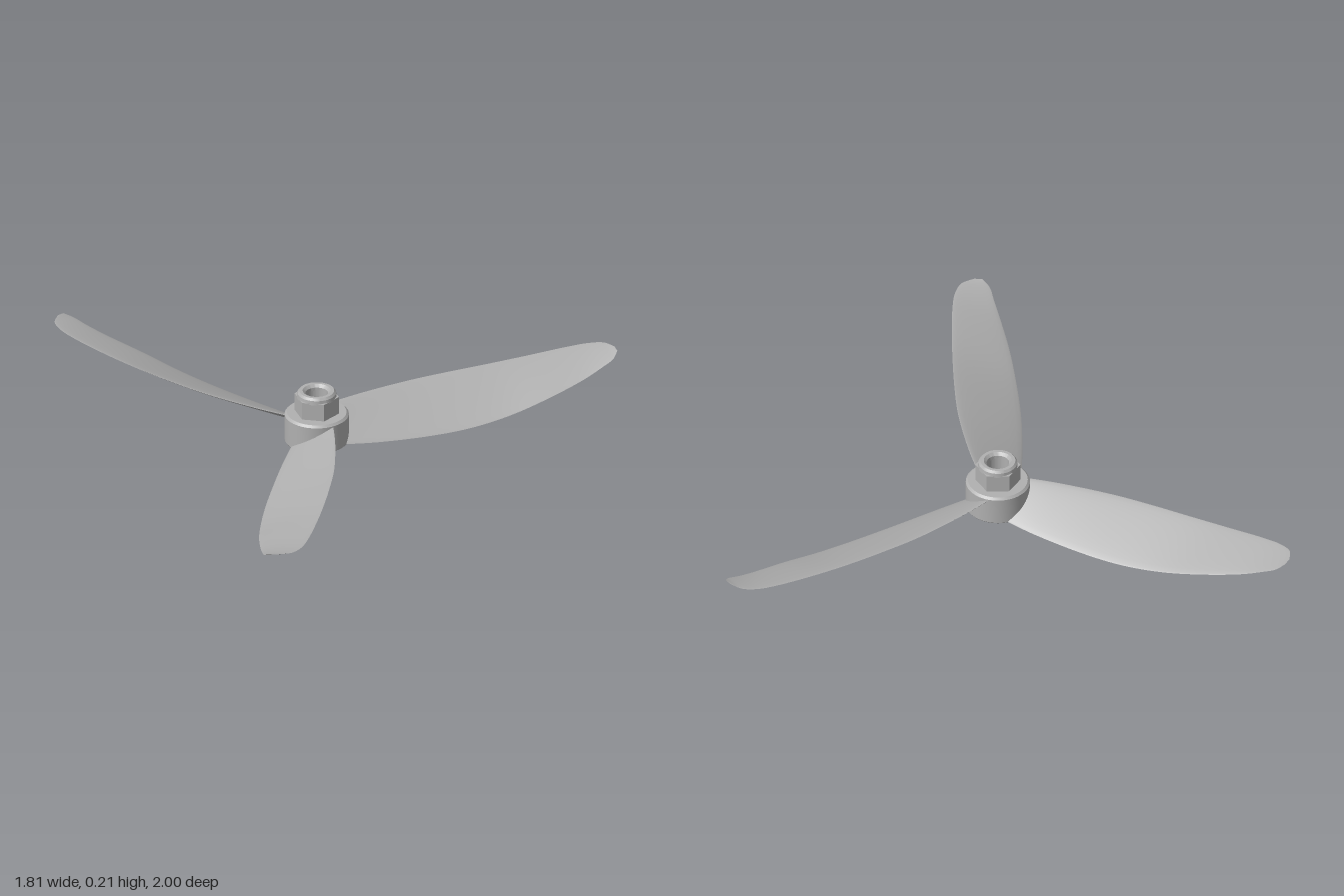
import * as THREE from 'three';
import { toCreasedNormals } from 'three/addons/utils/BufferGeometryUtils.js';

const metal = new THREE.MeshStandardMaterial({ color: 0xb0b0b0 });
metal.name = 'grey metal';

// Blade stations: radius, back edge z and y, front edge z and y, half thickness
const STATIONS = [
  [0.06, -0.070, 0.112, 0.075, 0.020, 0.009],
  [0.20, -0.105, 0.113, 0.085, 0.010, 0.008],
  [0.40, -0.140, 0.114, 0.088, 0.003, 0.007],
  [0.55, -0.152, 0.116, 0.083, 0.006, 0.006],
  [0.70, -0.158, 0.119, 0.068, 0.022, 0.005],
  [0.85, -0.160, 0.126, 0.045, 0.052, 0.005],
  [1.00, -0.157, 0.137, 0.010, 0.087, 0.004],
  [1.07, -0.148, 0.143, -0.010, 0.110, 0.003],
  [1.12, -0.125, 0.148, -0.025, 0.130, 0.002],
  [1.145, -0.080, 0.150, -0.050, 0.147, 0],
];

function bladeGeometry() {
  const curve = (f) => new THREE.CatmullRomCurve3(STATIONS.map(f));
  const back = curve((s) => new THREE.Vector3(s[0], s[2], s[1]));
  const front = curve((s) => new THREE.Vector3(s[0], s[4], s[3]));
  const thick = curve((s) => new THREE.Vector3(s[0], s[5], 0));
  const rows = 54, cols = 10;
  const positions = [], index = [];
  // Upper skin, then lower skin, meeting at sharp edges
  for (const side of [1, -1]) {
    const start = positions.length / 3;
    for (let i = 0; i <= rows; i++) {
      const b = back.getPoint(i / rows);
      const f = front.getPoint(i / rows);
      const t = thick.getPoint(i / rows).y;
      for (let j = 0; j <= cols; j++) {
        const a = (Math.PI * j) / cols;
        const p = b.clone().lerp(f, (1 - Math.cos(a)) / 2);
        positions.push(p.x, p.y + side * t * Math.sin(a), p.z);
      }
    }
    for (let i = 0; i < rows; i++) {
      for (let j = 0; j < cols; j++) {
        const a = start + i * (cols + 1) + j;
        const b = a + 1, c = a + cols + 1, d = c + 1;
        if (side > 0) index.push(a, b, c, b, d, c);
        else index.push(a, c, b, b, c, d);
      }
    }
  }
  const geometry = new THREE.BufferGeometry();
  geometry.setAttribute('position', new THREE.Float32BufferAttribute(positions, 3));
  geometry.setIndex(index);
  geometry.computeVertexNormals();
  return geometry;
}

// Closed ring turned from a profile, with crisp edges
function turned(profile) {
  const points = [...profile, profile[0]].map(([r, y]) => new THREE.Vector2(r, y));
  return toCreasedNormals(new THREE.LatheGeometry(points, 48), 0.5);
}

function hexNut(radius, hole, y, height) {
  const shape = new THREE.Shape();
  for (let i = 0; i < 6; i++) {
    const a = Math.PI / 2 + (i * Math.PI) / 3;
    const x = radius * Math.cos(a), z = radius * Math.sin(a);
    if (i === 0) shape.moveTo(x, z);
    else shape.lineTo(x, z);
  }
  shape.closePath();
  shape.holes.push(new THREE.Path().absarc(0, 0, hole, 0, Math.PI * 2, true));
  const geometry = new THREE.ExtrudeGeometry(shape, { depth: height, bevelEnabled: false, curveSegments: 24 });
  return geometry.rotateX(-Math.PI / 2).translate(0, y, 0);
}

export function createModel() {
  const model = new THREE.Group();
  model.name = 'propeller';
  const add = (name, geometry) => {
    const mesh = new THREE.Mesh(geometry, metal);
    mesh.name = name;
    model.add(mesh);
    return mesh;
  };

  // Hub with its bore
  add('hub', turned([[0.05, 0.015], [0.112, 0.015], [0.114, 0.018], [0.114, 0.117], [0.106, 0.125], [0.05, 0.125]]));

  // Lock nut with a round collar on top
  add('nut', hexNut(0.08, 0.04, 0.122, 0.069));
  add('nutCollar', turned([[0.04, 0.186], [0.071, 0.186], [0.069, 0.202], [0.062, 0.21], [0.05, 0.21], [0.04, 0.2]]));

  // Three twisted blades
  const blade = bladeGeometry();
  for (let i = 0; i < 3; i++) {
    add('blade' + (i + 1), blade).rotation.y = (i * Math.PI * 2) / 3;
  }

  model.position.set(-0.245, 0, -0.03);
  return model;
}
